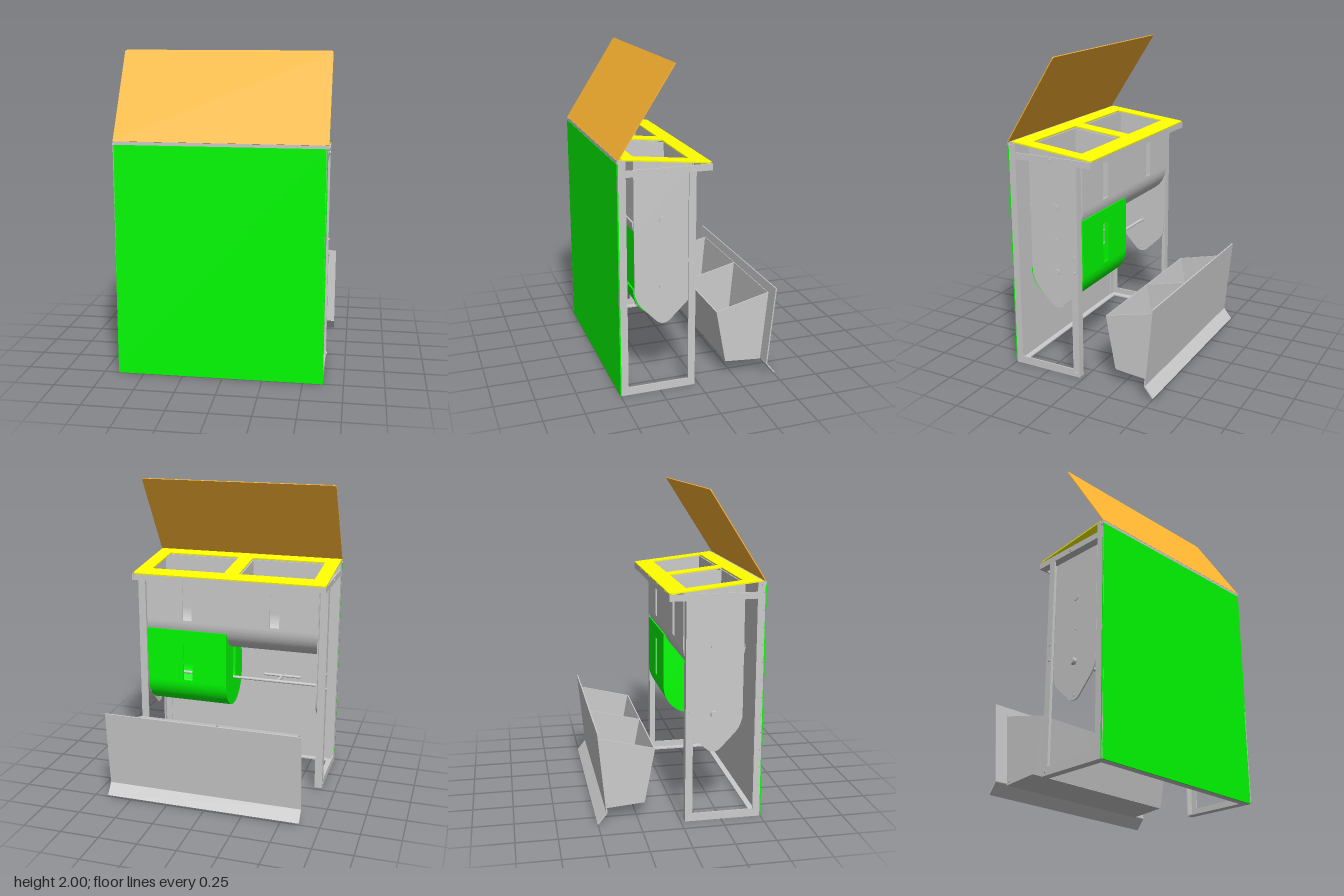
import * as THREE from 'three';

const paint = (color) => new THREE.MeshStandardMaterial({ color, side: THREE.DoubleSide });
const GREY = paint(0xcccccc), GREEN = paint(0x00ff00), YELLOW = paint(0xffff00), ORANGE = paint(0xffb732);
const X0 = -0.66, X1 = 0.625, MID = (X0 + X1) / 2; // cabinet width

export function createModel() {
  const model = new THREE.Group();
  const add = (name, geo, mat = GREY, parent = model) => {
    const m = new THREE.Mesh(geo, mat);
    m.name = name;
    parent.add(m);
    return m;
  };
  // box given by its limits
  const box = (name, x0, x1, y0, y1, z0, z1, mat, parent) =>
    add(name, new THREE.BoxGeometry(x1 - x0, y1 - y0, z1 - z0)
      .translate((x0 + x1) / 2, (y0 + y1) / 2, (z0 + z1) / 2), mat, parent);
  // outline in (z, y) extruded from x0 to x1
  const slab = (name, shape, x0, x1, mat, parent) =>
    add(name, new THREE.ExtrudeGeometry(shape, { depth: x1 - x0, bevelEnabled: false, curveSegments: 24 })
      .rotateY(-Math.PI / 2).translate(x1, 0, 0), mat, parent);
  const poly = (pts) => new THREE.Shape(pts.map(([z, y]) => new THREE.Vector2(z, y)));
  // thin sheet between two (z, y) points
  const sheet = (name, [z0, y0], [z1, y1], x0, x1, mat, parent, t = 0.008) => {
    const g = new THREE.BoxGeometry(x1 - x0, t, Math.hypot(z1 - z0, y1 - y0));
    g.rotateX(-Math.atan2(y1 - y0, z1 - z0));
    return add(name, g.translate((x0 + x1) / 2, (y0 + y1) / 2, (z0 + z1) / 2), mat, parent);
  };
  // cylinder along x
  const rod = (name, r, x0, x1, y, z, parent, seg = 16) =>
    add(name, new THREE.CylinderGeometry(r, r, x1 - x0, seg).rotateZ(Math.PI / 2)
      .translate((x0 + x1) / 2, y, z), GREY, parent);
  // rectangle with rounded top corners and optionally bottom corners
  const rounded = (x0, x1, h, r, Path = THREE.Shape, rb = 0) => {
    const s = new Path();
    s.moveTo(x0 + rb, 0);
    s.lineTo(x1 - rb, 0);
    if (rb) s.absarc(x1 - rb, rb, rb, -Math.PI / 2, 0);
    s.lineTo(x1, h - r);
    s.absarc(x1 - r, h - r, r, 0, Math.PI / 2);
    s.lineTo(x0 + r, h);
    s.absarc(x0 + r, h - r, r, Math.PI / 2, Math.PI);
    s.lineTo(x0, rb);
    if (rb) s.absarc(x0 + rb, rb, rb, Math.PI, Math.PI * 1.5);
    return s;
  };
  const rectHole = (x0, x1, y0, y1) =>
    new THREE.Path([[x0, y0], [x1, y0], [x1, y1], [x0, y1]].map(([x, y]) => new THREE.Vector2(x, y)));

  // front panel, grey lining and hinge rail
  box('frontPanel', X0, X1, 0, 1.45, 0.495, 0.502, GREEN);
  box('frontLining', X0, X1, 0, 1.45, 0.487, 0.495);
  box('hingeRail', X0, X1, 1.45, 1.47, 0.475, 0.5);

  // lid standing open
  const lid = add('lid', new THREE.ExtrudeGeometry(rounded(X0, 0.632, 0.63, 0.015),
    { depth: 0.006, bevelEnabled: false }), ORANGE);
  lid.position.set(0, 1.468, 0.495);
  lid.rotation.x = -0.57;

  // sloping top plate with two filling openings
  const top = rounded(X0, 0.62, 0.553, 0.005, THREE.Shape, 0.02);
  for (const [a, b] of [[-0.565, -0.07], [0.03, 0.525]]) top.holes.push(rectHole(a, b, 0.117, 0.46));
  const slope = Math.atan2(0.06, 0.55);
  const plate = add('topPlate', new THREE.ExtrudeGeometry(top, { depth: 0.008, bevelEnabled: false }), YELLOW);
  plate.position.set(0, 1.415, -0.075);
  plate.rotation.x = Math.PI / 2 - slope;
  box('topBackRail', X0 + 0.005, 0.615, 1.37, 1.407, -0.075, -0.067);

  // angle-iron side frames, mirrored about the middle
  for (const s of [-1, 1]) {
    const side = new THREE.Group();
    side.name = s > 0 ? 'leftFrame' : 'rightFrame';
    model.add(side);
    const e = MID + s * 0.642;
    const span = (w) => (s > 0 ? [e - w, e] : [e, e + w]);
    const ring = poly([[0.025, 0], [0.502, 0], [0.502, 1.465], [0.45, 1.465], [0.45, 1.408], [-0.075, 1.408],
      [-0.075, 1.368], [0.025, 1.368]]);
    ring.holes.push(rectHole(0.07, 0.45, 0.05, 1.368));
    slab('sideAngle', ring, ...span(0.008), GREY, side);
    box('backPostFlange', ...span(0.05), 0, 1.37, 0.025, 0.033, GREY, side);
    box('frontPostFlange', ...span(0.05), 0, 1.45, 0.48, 0.488, GREY, side);
    box('bottomFlange', ...span(0.05), 0, 0.008, 0.025, 0.49, GREY, side);
    box('topFlange', ...span(0.05), 1.368, 1.376, -0.075, 0.45, GREY, side);
    for (const [z, y] of [[0.05, 0.025], [0.21, 1.388], [0.485, 1.45], [0.05, 0.7], [0.05, 0.8]])
      rod('frameBolt', 0.01, e - 0.006, e + 0.006, y, z, side, 12);
  }
  box('bottomFrontFlange', X0, X1, 0, 0.008, 0.45, 0.49);

  // hopper end plates with pointed, rounded foot
  const end = new THREE.Shape();
  end.moveTo(0.39, 1.455);
  end.lineTo(0.39, 1.0);
  end.lineTo(0.39, 0.63);
  end.quadraticCurveTo(0.375, 0.565, 0.34, 0.53);
  end.lineTo(0.25, 0.435);
  end.quadraticCurveTo(0.21, 0.405, 0.17, 0.435);
  end.lineTo(0.06, 0.54);
  end.quadraticCurveTo(0.035, 0.57, 0.03, 0.63);
  end.lineTo(0.03, 1.415);
  const L = 0.565, R = -0.6;
  for (const x of [L, R]) {
    slab('hopperEndPlate', end, x - 0.004, x + 0.004);
    for (const [y, r] of [[1.08, 0.022], [0.87, 0.008], [0.66, 0.022], [0.45, 0.008]])
      rod('plateBushing', r, x - 0.009, x + 0.009, y, 0.212);
  }

  // trough: half-round bottom with slotted back wall and plain front wall
  const trough = (name, cy, yBack, yFront, x0, x1, slots, mat) => {
    const g = new THREE.Group();
    g.name = name;
    model.add(g);
    const arc = new THREE.Shape();
    arc.absarc(0.21, cy, 0.19, Math.PI, Math.PI * 2);
    arc.absarc(0.21, cy, 0.182, Math.PI * 2, Math.PI, true);
    slab('roundBottom', arc, x0, x1, mat, g);
    box('frontWall', x0, x1, cy, yFront, 0.382, 0.39, mat, g);
    const wall = new THREE.Shape([[x0, cy], [x1, cy], [x1, yBack], [x0, yBack]]
      .map(([x, y]) => new THREE.Vector2(x, y)));
    for (const sx of slots) wall.holes.push(rectHole(sx - 0.032, sx + 0.032, cy + 0.01, yBack - 0.09));
    add('backWall', new THREE.ExtrudeGeometry(wall, { depth: 0.008, bevelEnabled: false })
      .translate(0, 0, 0.02), mat, g);
    return g;
  };
  const uShape = (cy, yBack, yFront) => {
    const s = new THREE.Shape();
    s.moveTo(0.39, yFront);
    s.lineTo(0.03, yBack);
    s.lineTo(0.022, cy);
    s.absarc(0.21, cy, 0.188, Math.PI, Math.PI * 2);
    return s;
  };
  const upper = trough('upperHopper', 1.08, 1.41, 1.45, R, L, [0.28, -0.315], GREY);
  for (const x of [-0.07, 0.03]) slab('divider', uShape(1.08, 1.41, 1.45), x - 0.004, x + 0.004, GREY, upper);
  const drum = trough('lowerDrum', 0.66, 1.02, 1.02, 0.01, L, [0.28], GREEN);
  const face = uShape(0.66, 1.02, 1.02);
  face.holes.push(rectHole(0.18, 0.24, 0.66, 0.9));
  slab('drumEnd', face, 0.01, 0.018, GREEN, drum);

  // stirrer shaft in the open bay
  const stirrer = new THREE.Group();
  stirrer.name = 'stirrer';
  model.add(stirrer);
  rod('shaft', 0.01, -0.62, 0.56, 0.66, 0.21, stirrer);
  rod('shaftKnob', 0.022, -0.63, -0.605, 0.66, 0.21, stirrer);
  rod('stirBar', 0.009, -0.43, -0.17, 0.655, 0.345, stirrer);
  sheet('stirArm', [0.21, 0.66], [0.345, 0.655], -0.31, -0.292, GREY, stirrer, 0.018);

  // collecting tray behind, with two bays and a wide face plate
  const tray = new THREE.Group();
  tray.name = 'tray';
  model.add(tray);
  const A = [-0.14, 0.44], B = [-0.205, 0.095], C = [-0.445, 0.075], D = [-0.485, 0.525];
  for (const x of [-0.535, 0.015, 0.562]) slab('trayWall', poly([A, B, C, D]), x, x + 0.008, GREY, tray);
  for (const [n, p, q] of [['trayFront', A, B], ['trayFloor', B, C], ['trayBack', C, D]])
    sheet(n, p, q, -0.535, 0.57, GREY, tray);
  const F = [-0.447, 0.08];
  sheet('trayFace', [-0.495, 0.585], F, -0.62, 0.66, GREY, tray);
  sheet('trayLip', F, [-0.503, 0.01], -0.62, 0.66, GREY, tray);
  rod('trayPin', 0.01, -0.54, 0.575, 0.095, -0.425, tray, 12);

  return model;
}
